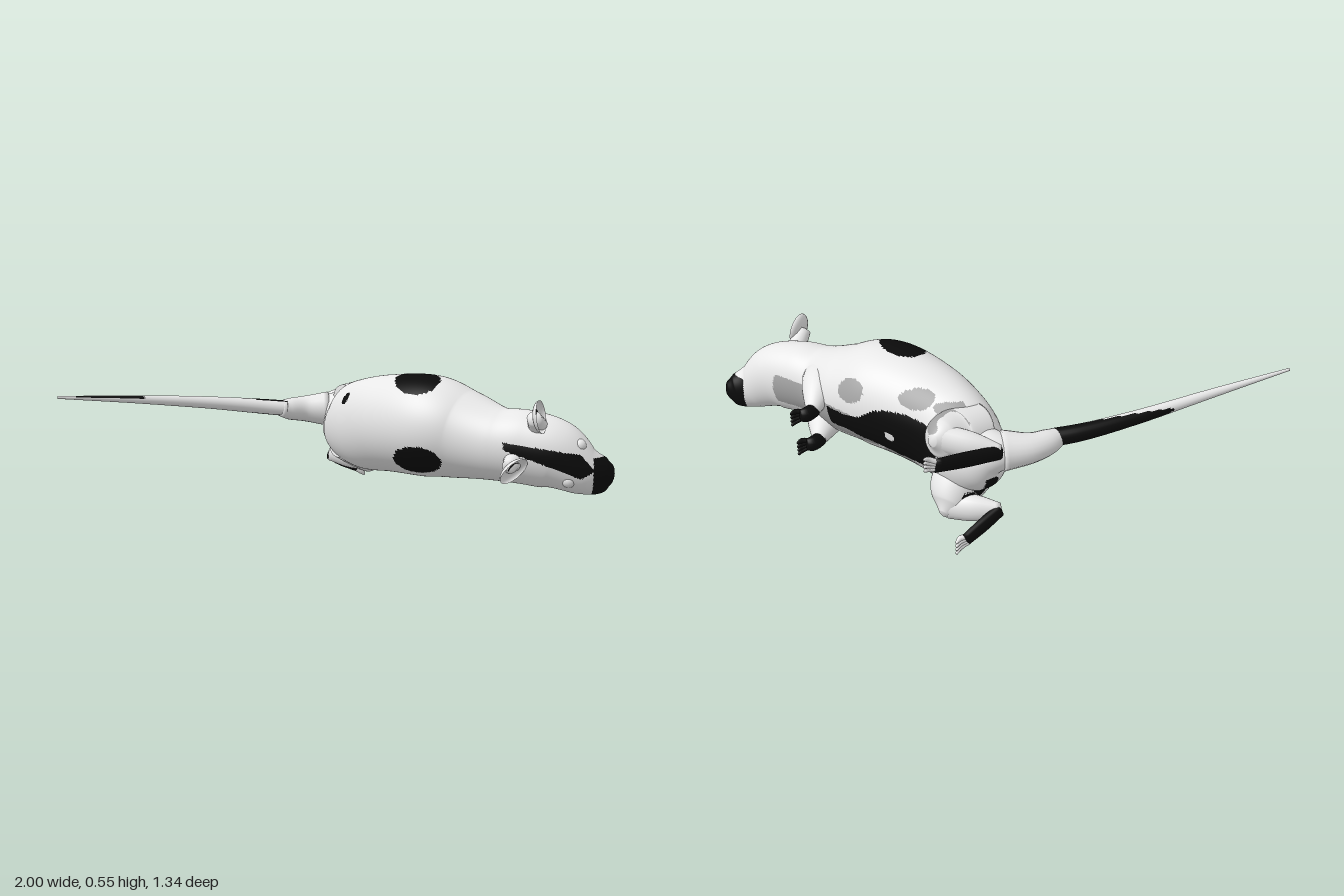
import * as THREE from 'three';

const mat = (name, color) => Object.assign(new THREE.MeshStandardMaterial({ color }), { name });

export function createModel() {
  const white = mat('pale fur', 0xf2f2f2);
  const black = mat('black fur', 0x0b0b0b);
  const grey = mat('grey fur', 0xa2a2a2);
  const paleThin = mat('pale ear skin', 0xeeeeee);
  paleThin.side = THREE.DoubleSide;
  const root = new THREE.Group();
  root.name = 'lyingRat';

  // Smooth skin over sections [x, y, z, halfWidth, halfHeight]; rule(p, n) picks a material per face
  function loft(name, sections, steps, sides, materials, rule, parent = root) {
    const centre = new THREE.CatmullRomCurve3(sections.map(s => new THREE.Vector3(s[0], s[1], s[2])));
    const size = new THREE.CatmullRomCurve3(sections.map(s => new THREE.Vector3(s[3], s[4] ?? s[3], 0)), false, 'catmullrom', 0.5);
    const up = new THREE.Vector3(0, 1, 0), pos = [], tris = [];
    for (let i = 0; i <= steps; i++) {
      const t = i / steps, c = centre.getPoint(t), T = centre.getTangent(t), r = size.getPoint(t);
      const S = up.clone().cross(T).normalize(), U = T.clone().cross(S);
      for (let j = 0; j < sides; j++) {
        const a = j / sides * Math.PI * 2;
        const p = c.clone().addScaledVector(S, Math.cos(a) * Math.max(r.x, 0.001))
          .addScaledVector(U, Math.sin(a) * Math.max(r.y, 0.001));
        pos.push(p.x, p.y, p.z);
      }
    }
    for (const end of [0, 1]) { // rounded end points
      const s = sections[end ? sections.length - 1 : 0];
      const p = centre.getPoint(end).addScaledVector(centre.getTangent(end), (end ? 0.4 : -0.4) * s[3]);
      pos.push(p.x, p.y, p.z);
    }
    const last = steps * sides, pole = last + sides;
    for (let j = 0; j < sides; j++) {
      const k = (j + 1) % sides;
      tris.push([pole, k, j], [pole + 1, last + j, last + k]);
      for (let a = 0; a < last; a += sides) {
        const b = a + sides;
        tris.push([a + j, a + k, b + k], [a + j, b + k, b + j]);
      }
    }
    const geo = new THREE.BufferGeometry();
    geo.setAttribute('position', new THREE.Float32BufferAttribute(pos, 3));
    const lists = materials.map(() => []);
    const tri = new THREE.Triangle(), mid = new THREE.Vector3(), n = new THREE.Vector3();
    for (const [a, b, c] of tris) {
      tri.setFromAttributeAndIndices(geo.attributes.position, a, b, c);
      tri.getMidpoint(mid);
      tri.getNormal(n);
      lists[rule ? rule(mid, n) : 0].push(a, b, c);
    }
    geo.setIndex(lists.flat());
    geo.computeVertexNormals();
    let start = 0;
    lists.forEach((l, i) => { geo.addGroup(start, l.length, i); start += l.length; });
    const mesh = new THREE.Mesh(geo, materials.length > 1 ? materials : materials[0]);
    mesh.name = name;
    parent.add(mesh);
  }

  const inside = (u, v, cu, cv, ru, rv) => ((u - cu) / ru) ** 2 + ((v - cv) / rv) ** 2 < 1;

  // Coat markings: 0 pale, 1 black, 2 grey
  function coat(p, n) {
    const { x, y, z } = p;
    if (x * 0.85 + z * 0.5 > 1.07 && y < 0.25) return 1; // muzzle
    if (n.y > 0 && inside(x, z, 0.39, 0.05, 0.088, 0.125)) return 1; // back spots
    if (n.y > 0 && inside(y, z, 0.43, -0.26, 0.025, 0.022) && x < 0.3) return 1;
    if (n.x < 0.1 && z < 0.35) { // flank spot
      const u = x - 0.335, v = y - 0.205;
      if (inside(u * 0.8 - v * 0.6, u * 0.6 + v * 0.8, 0, 0, 0.08, 0.05)) return 1;
    }
    if (n.z > 0.2 && x > 0.56 && x < 0.87 && z > 0.4) { // forehead blaze
      const d = x - 0.56;
      if (Math.abs(y - (0.292 - d * 0.3)) < Math.min(0.016 + d * 0.13, (0.87 - x) * 0.9)) return 1;
    }
    if (n.x > 0) { // belly
      if (inside(z, y, -0.2, 0.29, 0.02, 0.018)) return 0;
      if (inside(z, y, -0.26, 0.305, 0.185, 0.105)) return 1;
      if (z > -0.22 && z < 0.08 && Math.abs(y - 0.28) < 0.04 + Math.max(0, -z) * 0.2) return 1;
      if (z > -0.12 && z < 0.4 && Math.abs(y - 0.265) < 0.065) return 2;
      if (inside(z, y, -0.015, 0.425, 0.06, 0.045) || inside(z, y, -0.33, 0.18, 0.025, 0.05) ||
        inside(z, y, -0.2, 0.18, 0.08, 0.035) || inside(z, y, -0.26, 0.47, 0.06, 0.035) ||
        inside(z, y, -0.42, 0.47, 0.09, 0.025)) return 2;
    }
    return 0;
  }
  const fur = [white, black, grey];

  // Body and head in one skin, rump to nose
  loft('bodyAndHead', [
    [0.20, 0.352, -0.595, 0.045, 0.05], [0.265, 0.345, -0.55, 0.09, 0.085], [0.30, 0.315, -0.495, 0.13, 0.14],
    [0.315, 0.30, -0.43, 0.15, 0.18], [0.325, 0.305, -0.30, 0.165, 0.205], [0.375, 0.325, -0.14, 0.195, 0.215],
    [0.465, 0.33, 0.055, 0.22, 0.22], [0.55, 0.305, 0.18, 0.195, 0.19], [0.63, 0.28, 0.33, 0.15, 0.155],
    [0.70, 0.275, 0.42, 0.135, 0.155], [0.785, 0.25, 0.515, 0.118, 0.145], [0.875, 0.19, 0.585, 0.088, 0.102],
    [0.945, 0.167, 0.612, 0.058, 0.078], [0.975, 0.16, 0.622, 0.038, 0.055], [0.99, 0.155, 0.627, 0.015, 0.025],
  ], 220, 150, fur, coat);

  // Tail with its swollen root and dark rear side
  loft('tailRoot', [[0.24, 0.35, -0.56, 0.08], [0.14, 0.352, -0.592, 0.06], [0.06, 0.355, -0.588, 0.05],
    [0.01, 0.36, -0.578, 0.036]], 16, 20, [white]);
  loft('tail', [[0.04, 0.36, -0.575, 0.036], [-0.08, 0.372, -0.607, 0.034], [-0.3, 0.395, -0.637, 0.028],
    [-0.65, 0.425, -0.653, 0.018], [-0.997, 0.448, -0.664, 0.006]], 90, 24, [white, black],
  (p, n) => {
    const rear = p.x > -0.45 && n.z < 0.55 - Math.max(0, -0.06 - p.x) * 4;
    const streak = p.x < -0.62 && p.x > -0.92 && n.z > 0.3 && n.y > 0.35 && n.y < 0.8;
    return rear || streak ? 1 : 0;
  });

  // Fanned toes at the end of a foot
  function toes(parent, [x, y, z], length, spread, count, material, dy) {
    for (let i = 0; i < count; i++) {
      const k = i / (count - 1) - 0.5;
      loft('toe', [[x - 0.01, y + k * spread * 0.6, z, 0.011], [x + length * 0.5, y + k * spread + dy / 2, z + 0.005, 0.011],
        [x + length, y + k * spread * 1.2 + dy, z - 0.008, 0.005]], 6, 8, [material], null, parent);
    }
  }

  // Hind legs: thigh, shank, long dark foot, pale toes
  const hind = [
    { name: 'upperHindLeg', hip: [0.29, 0.36, -0.42], thigh: [0.40, 0.395, -0.45], knee: [0.465, 0.43, -0.49], tip: [0.505, 0.44, -0.51],
      ankle: [0.28, 0.39, -0.622], ball: [0.555, 0.43, -0.652], dy: 0.02 },
    { name: 'lowerHindLeg', hip: [0.29, 0.24, -0.42], thigh: [0.385, 0.165, -0.45], knee: [0.435, 0.112, -0.49], tip: [0.465, 0.09, -0.51],
      ankle: [0.28, 0.125, -0.62], ball: [0.435, 0.055, -0.648], dy: -0.022 },
  ];
  for (const { name, hip, thigh, knee, tip, ankle, ball, dy } of hind) {
    const leg = new THREE.Group();
    leg.name = name;
    root.add(leg);
    const mid = (a, b) => a.map((v, i) => (v + b[i]) / 2);
    loft('thigh', [[...hip, 0.11, 0.12], [...thigh, 0.105, 0.1], [...knee, 0.065, 0.07], [...tip, 0.02, 0.025]],
      50, 60, fur, coat, leg);
    loft('shank', [[...knee, 0.045, 0.055], [...mid(knee, ankle), 0.045, 0.055], [...ankle, 0.022, 0.032]], 16, 20, [white], null, leg);
    loft('foot', [[...ankle, 0.02, 0.028], [...mid(ankle, ball), 0.02, 0.032], [...ball, 0.016, 0.028]], 14, 16, [black], null, leg);
    toes(leg, ball, 0.045, 0.042, 4, white, dy);
  }

  // Forelegs folded against the chest, with dark paws
  const fore = [
    { name: 'upperForeleg', shoulder: [0.63, 0.345, 0.29], elbow: [0.70, 0.345, 0.2], wrist: [0.775, 0.305, 0.09] },
    { name: 'lowerForeleg', shoulder: [0.63, 0.205, 0.28], elbow: [0.69, 0.185, 0.195], wrist: [0.76, 0.165, 0.085] },
  ];
  for (const { name, shoulder, elbow, wrist } of fore) {
    const leg = new THREE.Group();
    leg.name = name;
    root.add(leg);
    const [x, y, z] = wrist;
    loft('arm', [[...shoulder, 0.1, 0.08], [...elbow, 0.08, 0.068], [...wrist, 0.028, 0.028]], 18, 24, [white], null, leg);
    loft('paw', [[x - 0.012, y, z + 0.01, 0.028, 0.03], [x + 0.03, y, z - 0.012, 0.028, 0.032],
      [x + 0.055, y, z - 0.01, 0.018, 0.026]], 10, 16, [black], null, leg);
    toes(leg, [x + 0.05, y, z - 0.008], 0.045, 0.045, 4, black, -0.006);
  }

  // Cupped ears
  const ears = [
    { name: 'upperEar', at: [0.665, 0.42, 0.585], facing: [0.65, 0.15, 0.75] },
    { name: 'lowerEar', at: [0.565, 0.2, 0.55], facing: [0.25, -0.6, 0.76] },
  ];
  for (const { name, at, facing } of ears) {
    const ear = new THREE.Group();
    ear.name = name;
    const cup = new THREE.Mesh(new THREE.SphereGeometry(0.068, 24, 10, 0, Math.PI * 2, 0, Math.PI / 2), paleThin);
    cup.name = 'earCup';
    cup.scale.y = 0.45;
    const patch = new THREE.Mesh(new THREE.CircleGeometry(0.026, 16).rotateX(Math.PI / 2), black);
    patch.name = 'earPatch';
    patch.position.set(0.012, 0.02, 0);
    ear.add(cup, patch);
    ear.position.set(...at);
    ear.quaternion.setFromUnitVectors(new THREE.Vector3(0, -1, 0), new THREE.Vector3(...facing).normalize());
    root.add(ear);
    // Fleshy root joining the cup to the skull
    loft('earRoot', [[at[0] + 0.06, at[1] + (0.27 - at[1]) * 0.5, at[2] - 0.09, 0.045],
      [at[0] - facing[0] * 0.03, at[1] - facing[1] * 0.03, at[2] - facing[2] * 0.03, 0.03]], 8, 16, [white]);
  }

  // Pale bulging eyes
  for (const [name, x, y, z] of [['upperEye', 0.83, 0.3, 0.618], ['lowerEye', 0.79, 0.155, 0.605]]) {
    const eye = new THREE.Mesh(new THREE.SphereGeometry(0.028, 16, 12), white);
    eye.name = name;
    eye.position.set(x, y, z);
    root.add(eye);
  }
  return root;
}
